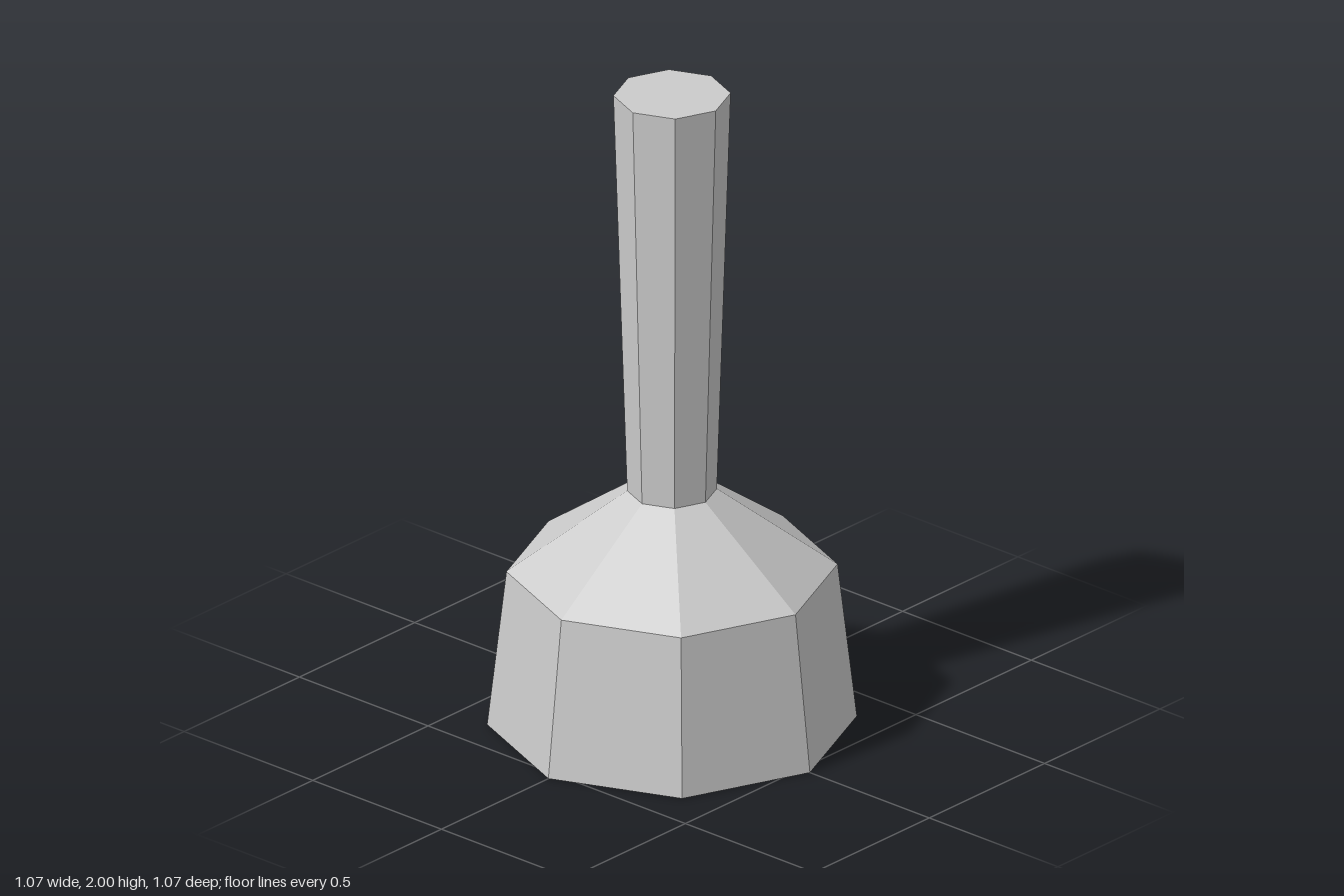
import * as THREE from 'three';

const SIDES = 8;

// Faceted solid of revolution from [radius, height] pairs, listed bottom to top
function turned(name, profile, material) {
  const points = profile.map(([r, y]) => new THREE.Vector2(r, y));
  const mesh = new THREE.Mesh(new THREE.LatheGeometry(points, SIDES), material);
  mesh.name = name;
  return mesh;
}

export function createModel() {
  const model = new THREE.Group();
  model.name = 'mallet';
  const material = new THREE.MeshStandardMaterial({ color: 0xcccccc, flatShading: true });

  // Heavy head: flat bottom, tapered wall, sloped shoulder up to the handle
  model.add(turned('head', [[0, 0], [0.536, 0], [0.48, 0.487], [0.13, 0.737]], material));

  // Handle widening towards its flat end
  model.add(turned('handle', [[0.13, 0.737], [0.17, 2], [0, 2]], material));

  return model;
}
